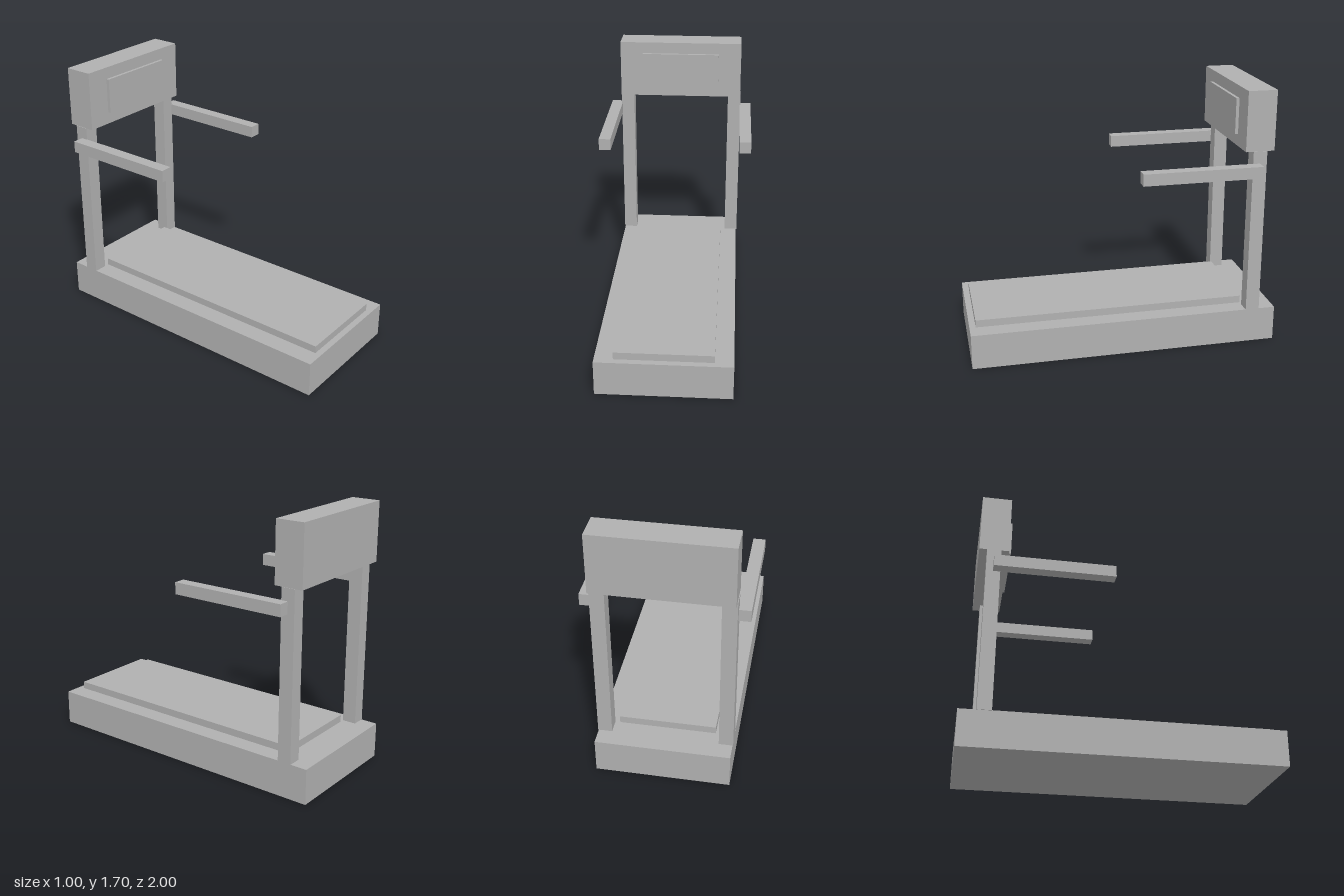
import * as THREE from 'three';

export function createModel() {
  const model = new THREE.Group();
  model.name = 'treadmill';
  const grey = new THREE.MeshStandardMaterial({ color: 0xb0b0b0 });
  grey.name = 'grey';

  // Box given by its minimum and maximum along each axis
  function block(name, [x0, x1], [y0, y1], [z0, z1]) {
    const mesh = new THREE.Mesh(new THREE.BoxGeometry(x1 - x0, y1 - y0, z1 - z0), grey);
    mesh.position.set((x0 + x1) / 2, (y0 + y1) / 2, (z0 + z1) / 2);
    mesh.name = name;
    model.add(mesh);
  }

  // Deck and running belt
  block('base', [-0.423, 0.423], [0, 0.23], [-1, 1]);
  block('runningBelt', [-0.306, 0.306], [0.23, 0.278], [-0.8, 0.96]);

  // Console and its raised screen
  block('console', [-0.423, 0.423], [1.31, 1.695], [-0.938, -0.75]);
  block('screen', [-0.266, 0.266], [1.388, 1.618], [-0.75, -0.73]);

  // Uprights and handrails on both sides
  for (const [side, s] of [['left', 1], ['right', -1]]) {
    const span = (a, b) => (s > 0 ? [a, b] : [-b, -a]);
    block(side + 'Upright', span(0.337, 0.427), [0.23, 1.31], [-0.89, -0.8]);
    block(side + 'Handrail', span(0.423, 0.5), [1.156, 1.232], [-0.845, -0.077]);
  }
  return model;
}
